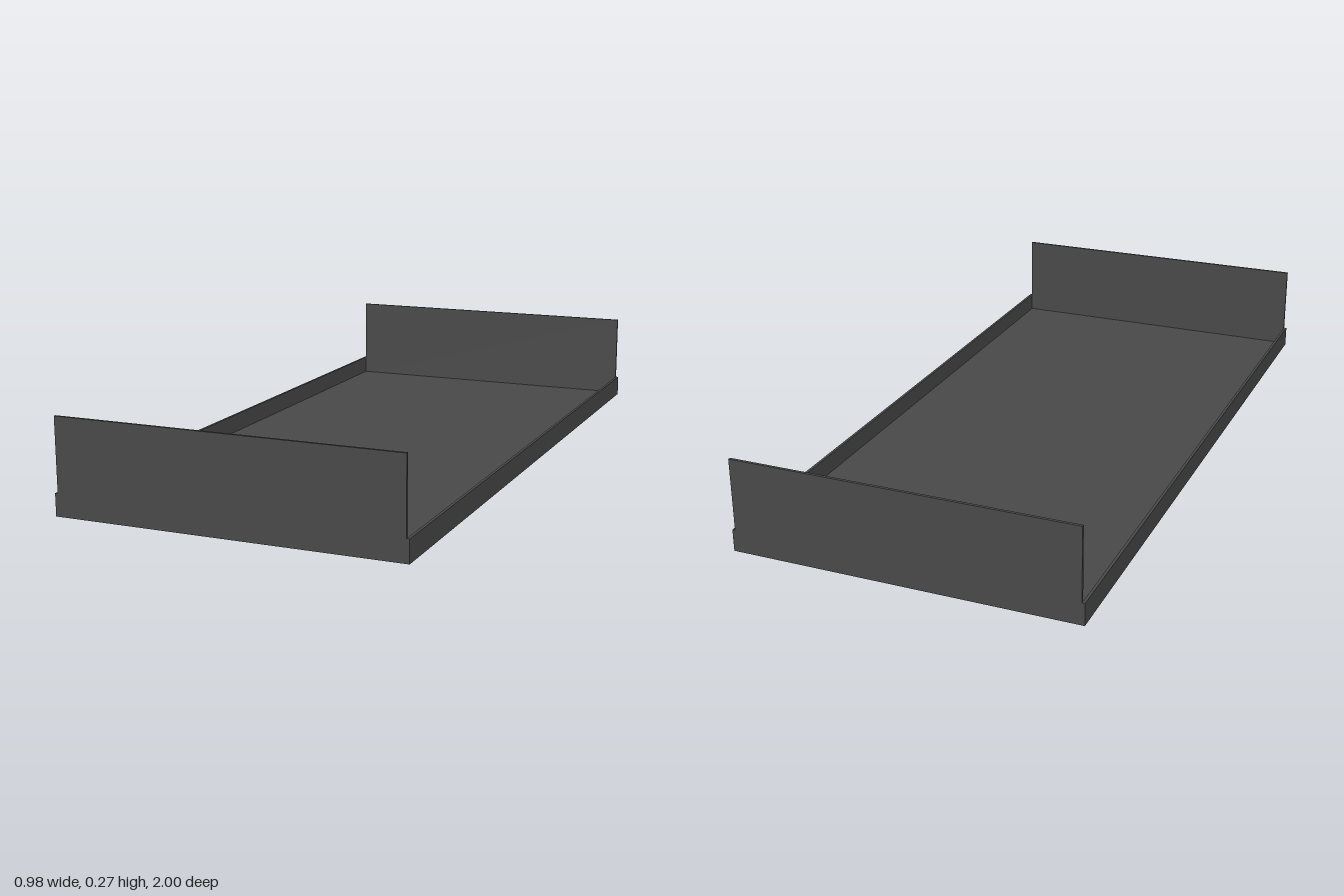
import * as THREE from 'three';

const WIDTH = 0.96;     // inner width between the side rails
const LENGTH = 2;
const SHEET = 0.008;    // panel thickness
const RAIL_H = 0.062;
const END_H = 0.266;

export function createModel() {
  const group = new THREE.Group();
  const material = new THREE.MeshStandardMaterial({ color: 0x484848 });

  // Box panel resting on height y
  const panel = (name, w, h, d, x, y, z) => {
    const mesh = new THREE.Mesh(new THREE.BoxGeometry(w, h, d), material);
    mesh.name = name;
    mesh.position.set(x, y + h / 2, z);
    group.add(mesh);
  };

  // Floor between the end panels
  panel('floor', WIDTH, SHEET, LENGTH - 2 * SHEET, 0, 0, 0);

  // Low rails along the outside of the long edges
  for (const [side, s] of [['left', 1], ['right', -1]]) {
    panel(side + 'Rail', SHEET, RAIL_H, LENGTH, s * (WIDTH + SHEET) / 2, 0, 0);
  }

  // Tall panels at both ends
  for (const [end, s] of [['front', 1], ['back', -1]]) {
    panel(end + 'Panel', WIDTH, END_H, SHEET, 0, 0, s * (LENGTH - SHEET) / 2);
  }

  return group;
}
